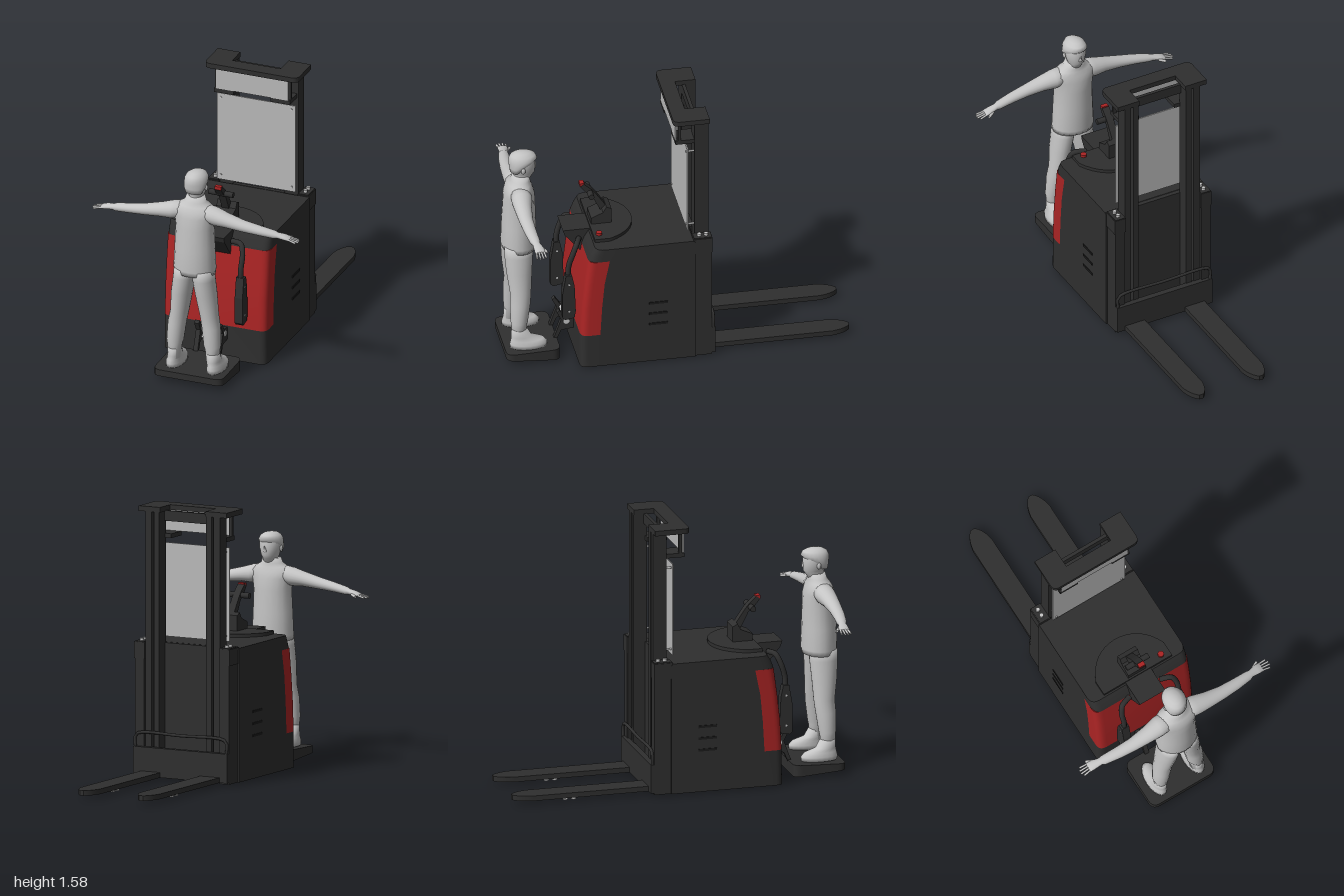
import * as THREE from 'three';
import { toCreasedNormals } from 'three/addons/utils/BufferGeometryUtils.js';

const mat = (name, color) => {
  const m = new THREE.MeshStandardMaterial({ color });
  m.name = name;
  return m;
};
const dark = mat('charcoal', 0x2f2f2f), red = mat('red', 0xab2424), black = mat('black', 0x1b1b1b);
const grey = mat('figure grey', 0xc4c4c4), pane = mat('pane grey', 0xbababa), metal = mat('metal', 0xc8c8c8);
const V = (x, y, z) => new THREE.Vector3(x, y, z);

function add(parent, name, geo, material) {
  const m = new THREE.Mesh(geo, material);
  m.name = name;
  parent.add(m);
  return m;
}
// box given by its limits on each axis
function box(parent, name, x0, x1, y0, y1, z0, z1, material = dark) {
  const g = new THREE.BoxGeometry(x1 - x0, y1 - y0, z1 - z0);
  return add(parent, name, g.translate((x0 + x1) / 2, (y0 + y1) / 2, (z0 + z1) / 2), material);
}
// [z, y] outline swept across x
function sideProfile(parent, name, pts, x0, x1, material = dark) {
  const g = new THREE.ExtrudeGeometry(new THREE.Shape(pts.map(p => new THREE.Vector2(...p))), { depth: x1 - x0, bevelEnabled: false });
  return add(parent, name, g.rotateY(-Math.PI / 2).translate(x1, 0, 0), material);
}
// (x, z) shape swept up y
function plan(parent, name, shape, y0, y1, material = dark) {
  const g = new THREE.ExtrudeGeometry(shape, { depth: y1 - y0, bevelEnabled: false, curveSegments: 8 });
  return add(parent, name, toCreasedNormals(g.rotateX(Math.PI / 2).translate(0, y1, 0), 0.6), material);
}
// rod between two points
function rod(parent, name, a, b, r, material = dark) {
  const m = add(parent, name, new THREE.CylinderGeometry(r, r, a.distanceTo(b), 14), material);
  m.position.copy(a).lerp(b, 0.5);
  m.quaternion.setFromUnitVectors(V(0, 1, 0), b.clone().sub(a).normalize());
  return m;
}
function tube(parent, name, pts, r, material = dark) {
  return add(parent, name, new THREE.TubeGeometry(new THREE.CatmullRomCurve3(pts), 24, r, 10), material);
}
function roundedRect(x0, x1, z0, z1, r) {
  const s = new THREE.Shape();
  s.moveTo(x0 + r, z0);
  s.lineTo(x1 - r, z0); s.quadraticCurveTo(x1, z0, x1, z0 + r);
  s.lineTo(x1, z1 - r); s.quadraticCurveTo(x1, z1, x1 - r, z1);
  s.lineTo(x0 + r, z1); s.quadraticCurveTo(x0, z1, x0, z1 - r);
  s.lineTo(x0, z0 + r); s.quadraticCurveTo(x0, z0, x0 + r, z0);
  return s;
}
// smooth skin over ellipses [cx, cy, cz, a, b] stacked along y or x
function loft(parent, name, rings, axis, material = grey) {
  const N = 20, pos = [], idx = [], k = axis === 'x' ? 0 : 1;
  const first = [...rings[0]], last = [...rings[rings.length - 1]];
  first[3] = first[4] = last[3] = last[4] = 0.0005;
  const all = [first, ...rings, last];
  const flip = (axis === 'x') !== (last[k] < first[k]);
  all.forEach(([x, y, z, a, b], i) => {
    for (let j = 0; j < N; j++) {
      const c = a * Math.cos(j / N * 2 * Math.PI), s = b * Math.sin(j / N * 2 * Math.PI);
      pos.push(axis === 'x' ? x : x + c, axis === 'x' ? y + c : y, z + s);
      if (i === all.length - 1) continue;
      const p = i * N + j, t = i * N + (j + 1) % N, u = p + N, v = t + N;
      if (flip) idx.push(p, t, u, t, v, u); else idx.push(p, u, t, t, u, v);
    }
  });
  const g = new THREE.BufferGeometry();
  g.setAttribute('position', new THREE.Float32BufferAttribute(pos, 3));
  g.setIndex(idx);
  g.computeVertexNormals();
  return add(parent, name, g, material);
}
// front cover with rounded corners; levels are [y, zBack, zFront]
function frontBlock(parent, name, levels, material) {
  const s = new THREE.Shape(), n = levels.length - 1;
  s.moveTo(-0.32, 0); s.lineTo(0.32, 0); s.lineTo(0.32, 0.6);
  s.quadraticCurveTo(0.32, 1, 0.27, 1); s.lineTo(-0.27, 1);
  s.quadraticCurveTo(-0.32, 1, -0.32, 0.6);
  const g = new THREE.ExtrudeGeometry(s, { depth: 1, steps: n, bevelEnabled: false, curveSegments: 6 });
  g.rotateX(Math.PI / 2).translate(0, 1, 0);
  const p = g.attributes.position;
  for (let i = 0; i < p.count; i++) {
    const [y, b, f] = levels[Math.round(p.getY(i) * n)];
    p.setXYZ(i, p.getX(i), y, b + (f - b) * p.getZ(i));
  }
  add(parent, name, toCreasedNormals(g, 0.5), material);
}

function buildBody(t) {
  sideProfile(t, 'mainBody', [[-0.08, 0.01], [0.475, 0.01], [0.475, 0.22], [0.465, 0.4], [0.45, 0.56], [0.42, 0.71], [0.38, 0.79], [-0.07, 0.79], [-0.08, 0.78]], -0.32, 0.32);
  frontBlock(t, 'lowerFrontCover', [[0.01, 0.475, 0.59], [0.22, 0.475, 0.588]], dark);
  frontBlock(t, 'redFrontCover', [[0.22, 0.475, 0.588], [0.4, 0.465, 0.578], [0.56, 0.45, 0.56], [0.71, 0.42, 0.54]], red);
  frontBlock(t, 'dashboard', [[0.71, 0.36, 0.54], [0.75, 0.36, 0.525], [0.79, 0.36, 0.5]], dark);
  // console plate with an arched rear edge
  const c = new THREE.Shape();
  c.moveTo(-0.23, 0.49); c.lineTo(-0.23, 0.4); c.quadraticCurveTo(-0.16, 0.24, 0, 0.235);
  c.quadraticCurveTo(0.16, 0.24, 0.23, 0.4); c.lineTo(0.23, 0.49);
  plan(t, 'consolePlate', c, 0.78, 0.81);
  sideProfile(t, 'consoleNose', [[0.65, 0.8], [0.64, 0.77], [0.55, 0.66], [0.48, 0.7], [0.46, 0.8]], -0.085, 0.085);
  rod(t, 'emergencyButton', V(0.175, 0.8, 0.455), V(0.175, 0.825, 0.455), 0.018, red);
  for (const s of [-1, 1]) {
    for (const y of [0.26, 0.33, 0.4])
      box(t, 'sideVent', s * 0.321 - 0.003, s * 0.321 + 0.003, y - 0.007, y + 0.007, 0.08, 0.19, black);
    rod(t, 'driveWheel', V(s * 0.16, 0.035, 0.42), V(s * 0.22, 0.035, 0.42), 0.035, black);
    // grab handles with knee pads
    tube(t, 'grabHandle', [V(s * 0.1, 0.75, 0.56), V(s * 0.165, 0.75, 0.585), V(s * 0.185, 0.7, 0.61), V(s * 0.185, 0.62, 0.635), V(s * 0.185, 0.54, 0.638)], 0.016);
    sideProfile(t, 'kneePad', [[0.62, 0.57], [0.655, 0.57], [0.675, 0.45], [0.675, 0.29], [0.66, 0.275], [0.605, 0.285], [0.598, 0.33], [0.605, 0.5]], s * 0.187 - 0.024, s * 0.187 + 0.024);
    for (const y of [0.33, 0.51]) rod(t, 'padBolt', V(s * 0.16, y, 0.637), V(s * 0.214, y, 0.637), 0.006, metal);
  }
  // steering lever
  sideProfile(t, 'leverBase', [[0.48, 0.8], [0.36, 0.8], [0.36, 0.9], [0.39, 0.915], [0.41, 0.88], [0.48, 0.85]], -0.06, 0.06);
  sideProfile(t, 'leverArm', [[0.39, 0.91], [0.42, 0.88], [0.465, 0.97], [0.5, 1.0], [0.535, 1.045], [0.515, 1.06], [0.47, 1.02], [0.445, 0.99]], -0.022, 0.022);
  rod(t, 'leverGrip', V(-0.075, 1.0, 0.48), V(0.075, 1.0, 0.48), 0.017);
  box(t, 'leverButton', -0.02, 0.02, 1.045, 1.065, 0.512, 0.538, red);
}

function buildStep(t) {
  const p = plan(t, 'footPlatform', roundedRect(-0.215, 0.215, 0.685, 0.998, 0.05), 0, 1);
  const a = p.geometry.attributes.position;
  for (let i = 0; i < a.count; i++) {
    const f = (a.getZ(i) - 0.685) / 0.313;
    a.setY(i, a.getY(i) > 0.5 ? 0.083 - 0.01 * f : 0.012 + 0.022 * f);
  }
  p.geometry = toCreasedNormals(p.geometry, 0.6);
  for (const s of [-1, 1]) {
    sideProfile(t, 'stepLink', [[0.71, 0.06], [0.69, 0.06], [0.66, 0.13], [0.58, 0.14], [0.58, 0.21], [0.64, 0.22], [0.67, 0.265], [0.685, 0.25], [0.66, 0.2]], s * 0.07 - 0.014, s * 0.07 + 0.014);
    rod(t, 'linkBolt', V(s * 0.082, 0.19, 0.63), V(s * 0.09, 0.19, 0.63), 0.018, metal);
  }
  rod(t, 'upperPivot', V(-0.075, 0.2, 0.63), V(0.075, 0.2, 0.63), 0.015, metal);
  rod(t, 'lowerPivot', V(-0.075, 0.15, 0.63), V(0.075, 0.15, 0.63), 0.012, metal);
}

function buildMast(t) {
  for (const s of [-1, 1]) {
    const b = (name, x0, x1, ...r) => box(t, name, Math.min(s * x0, s * x1), Math.max(s * x0, s * x1), ...r);
    b('outerMastChannel', 0.25, 0.31, 0.01, 0.8, -0.18, -0.075);
    b('outerMastCollar', 0.245, 0.315, 0.7, 0.795, -0.182, -0.07);
    // inner post: web with three flanges
    b('innerPostWeb', 0.205, 0.245, 0.02, 1.56, -0.155, -0.105);
    b('innerPostFrontFlange', 0.155, 0.245, 0.02, 1.56, -0.11, -0.09);
    b('innerPostRearFlange', 0.205, 0.245, 0.02, 1.56, -0.17, -0.15);
    b('innerPostRail', 0.155, 0.19, 0.02, 1.56, -0.17, -0.09);
    b('paneBracket', 0.115, 0.235, 1.4, 1.425, -0.1, 0.02);
    b('topHanger', 0.215, 0.235, 1.41, 1.56, -0.012, 0.005);
    for (const y of [0.85, 1.34]) rod(t, 'paneStandoff', V(s * 0.22, y, -0.1), V(s * 0.22, y, -0.04), 0.006, metal);
    for (const z of [-0.15, -0.11]) rod(t, 'mastBolt', V(s * 0.28, 0.79, z), V(s * 0.28, 0.815, z), 0.012, metal);
    // forks with rounded points
    const f = new THREE.Shape(), x = s * 0.195, w = 0.064;
    f.moveTo(x - w, -0.17); f.lineTo(x - w, -0.89); f.quadraticCurveTo(x - w * 0.8, -0.97, x - 0.012, -1);
    f.lineTo(x + 0.012, -1); f.quadraticCurveTo(x + w * 0.8, -0.97, x + w, -0.89); f.lineTo(x + w, -0.17);
    plan(t, 'fork', f, 0.02, 0.05);
    for (const z of [-0.64, -0.69]) rod(t, 'forkRoller', V(x - 0.035, 0.018, z), V(x + 0.035, 0.018, z), 0.018, metal);
  }
  box(t, 'mastBackPlate', -0.16, 0.16, 0.02, 0.79, -0.1, -0.075);
  box(t, 'mastTopTie', -0.16, 0.16, 1.5, 1.56, -0.11, -0.09);
  box(t, 'forkCarriage', -0.31, 0.31, 0.02, 0.19, -0.2, -0.165);
  tube(t, 'carriageRail', [V(-0.3, 0.18, -0.19), V(-0.3, 0.255, -0.19), V(-0.27, 0.272, -0.19), V(0, 0.272, -0.19), V(0.27, 0.272, -0.19), V(0.3, 0.255, -0.19), V(0.3, 0.18, -0.19)], 0.009);
  // overhead frame, open toward the rear
  const u = new THREE.Shape();
  u.moveTo(-0.29, -0.17); u.lineTo(-0.15, -0.17); u.lineTo(-0.15, -0.05); u.lineTo(0.15, -0.05);
  u.lineTo(0.15, -0.17); u.lineTo(0.29, -0.17); u.lineTo(0.29, 0.0); u.quadraticCurveTo(0.29, 0.04, 0.25, 0.04);
  u.lineTo(-0.25, 0.04); u.quadraticCurveTo(-0.29, 0.04, -0.29, 0.0);
  plan(t, 'overheadFrame', u, 1.555, 1.585);
  box(t, 'mainPane', -0.243, 0.243, 0.82, 1.365, -0.054, -0.046, pane);
  box(t, 'upperPane', -0.225, 0.225, 1.425, 1.555, 0.012, 0.02, pane);
}

function buildOperator(f) {
  loft(f, 'jacket', [[0, 0.69, 0.895, 0.124, 0.098], [0, 0.72, 0.895, 0.126, 0.104], [0, 0.85, 0.895, 0.12, 0.1], [0, 0.98, 0.893, 0.115, 0.094], [0, 1.05, 0.893, 0.127, 0.09], [0, 1.09, 0.893, 0.135, 0.078], [0, 1.115, 0.89, 0.1, 0.066], [0, 1.135, 0.885, 0.066, 0.056], [0, 1.165, 0.882, 0.056, 0.05]], 'y');
  loft(f, 'head', [[0, 1.12, 0.885, 0.042, 0.042], [0, 1.165, 0.868, 0.042, 0.055], [0, 1.185, 0.865, 0.051, 0.064], [0, 1.22, 0.868, 0.06, 0.07], [0, 1.26, 0.869, 0.063, 0.07], [0, 1.29, 0.87, 0.052, 0.06]], 'y');
  loft(f, 'hair', [[0, 1.195, 0.915, 0.05, 0.03], [0, 1.225, 0.9, 0.064, 0.05], [0, 1.25, 0.882, 0.069, 0.07], [0, 1.275, 0.87, 0.068, 0.083], [0, 1.298, 0.87, 0.056, 0.072], [0, 1.312, 0.872, 0.034, 0.045], [0, 1.316, 0.873, 0.012, 0.018]], 'y');
  const nose = add(f, 'nose', new THREE.ConeGeometry(0.013, 0.038, 8), grey);
  nose.position.set(0, 1.226, 0.797);
  nose.rotation.x = -0.35;
  for (const s of [-1, 1]) {
    const ear = add(f, 'ear', new THREE.SphereGeometry(0.016, 10, 8), grey);
    ear.scale.set(0.5, 1.2, 0.8);
    ear.position.set(s * 0.064, 1.22, 0.878);
    loft(f, 'arm', [[0.06, 1.075, 0.895, 0.05, 0.06], [0.13, 1.06, 0.898, 0.054, 0.06], [0.2, 1.05, 0.904, 0.043, 0.05], [0.3, 1.033, 0.906, 0.034, 0.04], [0.4, 1.019, 0.9, 0.028, 0.035], [0.49, 1.005, 0.89, 0.023, 0.029], [0.51, 1.002, 0.886, 0.017, 0.022], [0.55, 0.996, 0.88, 0.016, 0.029], [0.585, 0.988, 0.878, 0.011, 0.03]].map(([x, ...r]) => [s * x, ...r]), 'x');
    for (let i = 0; i < 4; i++)
      rod(f, 'finger', V(s * 0.575, 0.99, 0.856 + i * 0.014), V(s * (0.627 + (i % 3 ? 0.01 : 0)), 0.978, 0.85 + i * 0.018), 0.006, grey);
    rod(f, 'thumb', V(s * 0.54, 0.992, 0.858), V(s * 0.578, 0.982, 0.836), 0.008, grey);
    loft(f, 'trouserLeg', [[0.118, 0.135, 0.915, 0.035, 0.04], [0.117, 0.225, 0.913, 0.044, 0.046], [0.115, 0.245, 0.912, 0.05, 0.05], [0.105, 0.36, 0.905, 0.054, 0.06], [0.092, 0.43, 0.9, 0.054, 0.062], [0.075, 0.56, 0.905, 0.062, 0.075], [0.06, 0.66, 0.905, 0.064, 0.083], [0.056, 0.72, 0.905, 0.062, 0.083]].map(([x, ...r]) => [s * x, ...r]), 'y');
    loft(f, 'shoe', [[0.126, 0.08, 0.86, 0.052, 0.108], [0.126, 0.105, 0.86, 0.053, 0.11], [0.124, 0.128, 0.868, 0.046, 0.096], [0.121, 0.15, 0.9, 0.041, 0.06], [0.118, 0.2, 0.914, 0.04, 0.045]].map(([x, ...r]) => [s * x, ...r]), 'y');
  }
}

export function createModel() {
  const model = new THREE.Group(), truck = new THREE.Group(), operator = new THREE.Group();
  truck.name = 'palletTruck';
  operator.name = 'operator';
  truck.position.x = -0.01;
  operator.position.x = -0.003;
  buildBody(truck);
  buildStep(truck);
  buildMast(truck);
  buildOperator(operator);
  model.add(truck, operator);
  return model;
}
